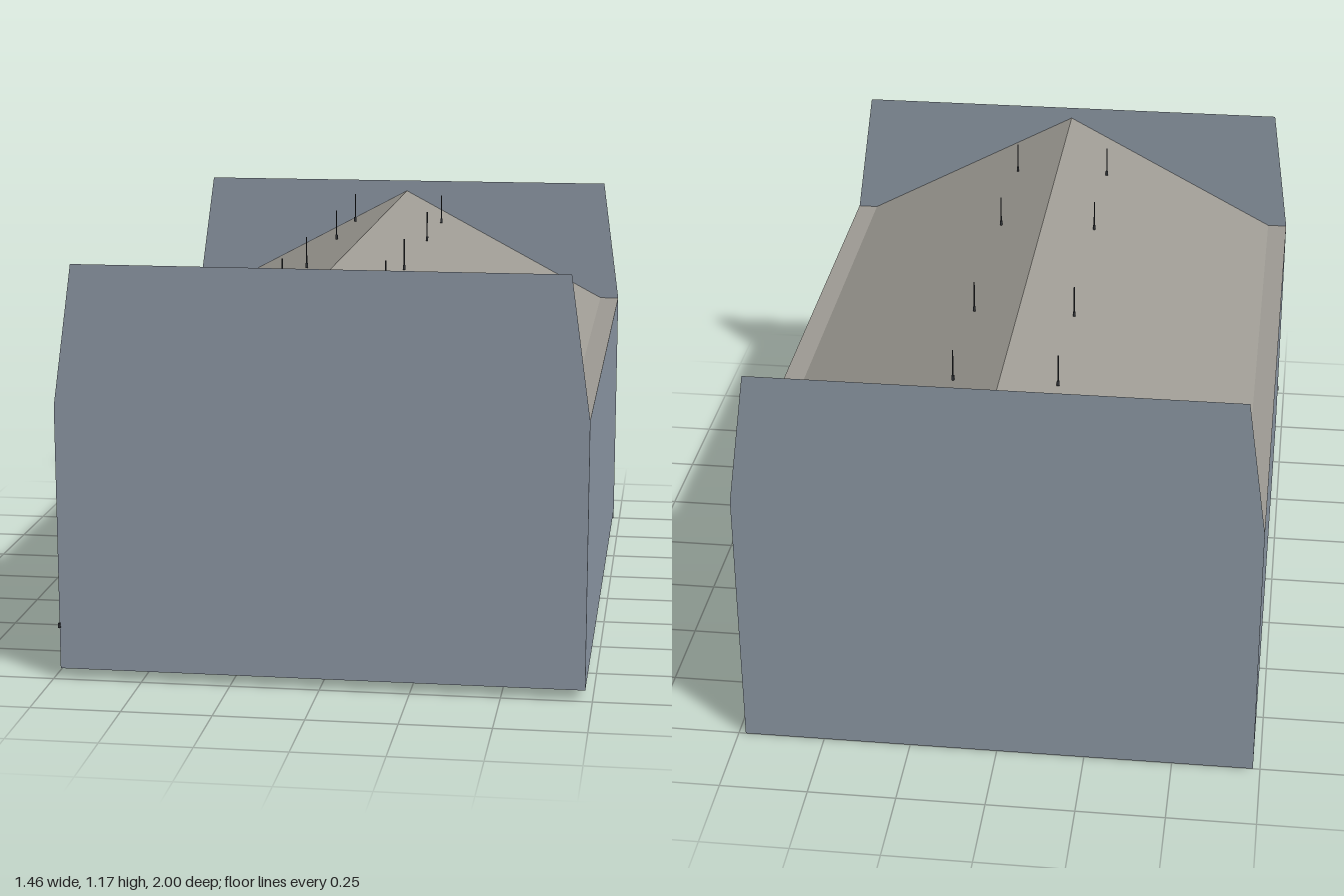
import * as THREE from 'three';

const HALF_W = 0.73, EAVE = 0.778, FLOOR = 0.03, RIDGE = 1.135, TOP = 1.17;
const BACK = -1, FRONT = 0.995;
const ROOF_HALF = 0.677;

export function createModel() {
  const model = new THREE.Group();
  const material = (name, color, side = THREE.FrontSide) => {
    const m = new THREE.MeshStandardMaterial({ color, side });
    m.name = name;
    return m;
  };
  const wall = material('blue grey wall', 0x8d98a5, THREE.DoubleSide);
  const roofing = material('warm grey roof', 0x9d9a93);
  const dark = material('dark metal', 0x33363a);

  const add = (name, geometry, mat, x = 0, y = 0, z = 0, parent = model) => {
    const mesh = new THREE.Mesh(geometry, mat);
    mesh.name = name;
    mesh.position.set(x, y, z);
    parent.add(mesh);
    return mesh;
  };

  // Main block; its top shows as the flat strips along the eaves
  const length = FRONT - BACK - 0.004, midZ = (FRONT + BACK) / 2;
  add('body', new THREE.BoxGeometry(HALF_W * 2, EAVE - FLOOR, length),
    [wall, wall, roofing, wall, wall, wall], 0, (EAVE + FLOOR) / 2, midZ);

  // Pitched roof
  const pitch = new THREE.Shape();
  pitch.moveTo(-ROOF_HALF, EAVE - 0.004);
  pitch.lineTo(ROOF_HALF, EAVE - 0.004);
  pitch.lineTo(0, RIDGE);
  add('roof', new THREE.ExtrudeGeometry(pitch, { depth: length, bevelEnabled: false }),
    roofing, 0, 0, BACK + 0.002);

  // Thin parapet walls at both ends; the back one reaches the ground
  const parapet = (name, bottom, z) => {
    const s = new THREE.Shape();
    s.moveTo(-HALF_W, bottom);
    s.lineTo(HALF_W, bottom);
    s.lineTo(HALF_W, EAVE);
    s.lineTo(0.675, TOP);
    s.lineTo(-0.675, TOP);
    s.lineTo(-HALF_W, EAVE);
    add(name, new THREE.ShapeGeometry(s), wall, 0, 0, z);
  };
  parapet('frontParapet', FLOOR, FRONT);
  parapet('backParapet', 0, BACK);

  // Two rows of slim roof pins with a thicker foot
  const rod = new THREE.CylinderGeometry(0.002, 0.002, 0.09, 6);
  const foot = new THREE.CylinderGeometry(0.004, 0.004, 0.014, 6);
  for (const x of [-0.145, 0.145]) {
    for (const z of [-0.752, -0.325, 0.278, 0.703]) {
      const pin = new THREE.Group();
      pin.name = 'roofPin';
      pin.position.set(x, 1.06, z);
      add('pinRod', rod, dark, 0, 0.047, 0, pin);
      add('pinFoot', foot, dark, 0, 0.007, 0, pin);
      model.add(pin);
    }
  }

  // Tiny fitting on the front corner
  add('cornerFitting', new THREE.BoxGeometry(0.006, 0.014, 0.008), dark, -0.73, 0.155, 0.996);
  return model;
}
